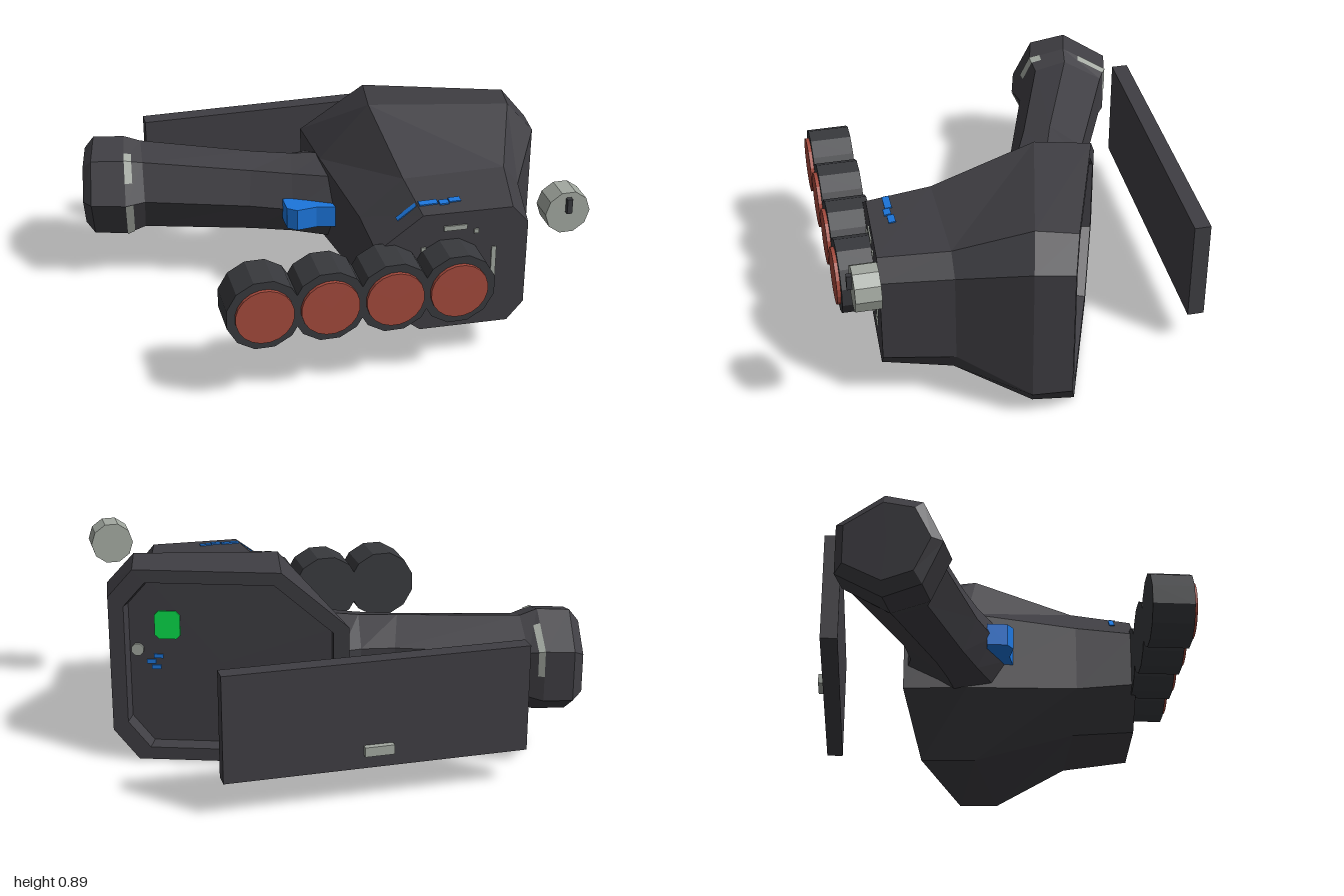
import * as THREE from 'three';

const mat = (name, color) => {
  const m = new THREE.MeshStandardMaterial({ color });
  m.name = name;
  return m;
};

export function createModel() {
  const model = new THREE.Group();
  const charcoal = mat('charcoal', 0x3f3e43);
  const slate = mat('slate', 0x38393d);
  const red = mat('lens red', 0xa3493c);
  const grey = mat('pale grey', 0xa2a8a0);
  const blue = mat('blue', 0x1c76dc);
  const green = mat('screen green', 0x08e04c);

  const add = (name, geo, material, x = 0, y = 0, z = 0) => {
    const g = geo.index ? geo.toNonIndexed() : geo;
    g.computeVertexNormals();
    const mesh = new THREE.Mesh(g, material);
    mesh.name = name;
    mesh.position.set(x, y, z);
    model.add(mesh);
    return mesh;
  };
  const box = (name, w, h, d, material, x, y, z) =>
    add(name, new THREE.BoxGeometry(w, h, d), material, x, y, z);
  const disc = (name, r, depth, sides, material, x, y, z) => {
    const g = new THREE.CylinderGeometry(r, r, depth, sides);
    g.rotateY(Math.PI / sides).rotateX(Math.PI / 2);
    return add(name, g, material, x, y, z);
  };
  const slab = (points, depth) => new THREE.ExtrudeGeometry(
    new THREE.Shape(points.map(([x, y]) => new THREE.Vector2(x, y))), { depth, bevelEnabled: false });

  // Faceted skin through a list of rings, closed at both ends
  const loft = rings => {
    const out = [];
    const tri = (...pts) => pts.forEach(p => out.push(p.x, p.y, p.z));
    const n = rings[0].length;
    const centre = r => r.reduce((s, p) => s.add(p), new THREE.Vector3()).divideScalar(n);
    const last = rings[rings.length - 1];
    const c0 = centre(rings[0]), c1 = centre(last);
    for (let j = 0; j < n; j++) {
      const k = (j + 1) % n;
      tri(c0, rings[0][j], rings[0][k]);
      tri(c1, last[k], last[j]);
      for (let i = 0; i + 1 < rings.length; i++) {
        const a = rings[i], b = rings[i + 1];
        tri(a[j], b[k], a[k]);
        tri(a[j], b[j], b[k]);
      }
    }
    const g = new THREE.BufferGeometry();
    g.setAttribute('position', new THREE.Float32BufferAttribute(out, 3));
    return g;
  };

  // Housing: chamfered rings from the front face to the slanted back rim
  const octagon = ([x0, x1, x2, x3], [y0, y1, y2, y3], [l1, l2], zAt) =>
    [[x3, y1], [x3, y2], [x2, y3], [x1, y3], [x0, l2], [x0, l1], [x1, y0], [x2, y0]]
      .map(([x, y]) => new THREE.Vector3(x, y, zAt(x)));
  const backZ = x => -0.1 - (0.995 - x) * 0.342;
  const rim = octagon([0.03, 0.3, 0.895, 0.998], [0.015, 0.15, 0.76, 0.885], [0.25, 0.65], backZ);
  const inset = (s, dx, dz) => rim.map(p => {
    const x = 0.52 + (p.x - 0.52) * s;
    return new THREE.Vector3(x + dx, 0.45 + (p.y - 0.45) * s, backZ(x) + dz);
  });
  add('housing', loft([
    octagon([0.1, 0.295, 0.68, 0.75], [0.175, 0.26, 0.65, 0.73], [0.33, 0.58], x => 0.62 + (x - 0.1) * 0.04),
    octagon([0.1, 0.29, 0.74, 0.81], [0.15, 0.26, 0.67, 0.76], [0.3, 0.6], () => 0.35),
    octagon([0.05, 0.26, 0.86, 0.975], [0.005, 0.14, 0.77, 0.9], [0.27, 0.635], x => -0.1 + (x - 0.26) * 0.23),
    rim,
    inset(0.87, 0, 0),
    inset(0.85, -0.02, 0.06),
  ]), charcoal);

  // Handle: front and back edge in x,z plus half height for each ring
  const sections = [
    [-1.0, -0.34, -0.92, -0.69, 0.175],
    [-0.97, -0.29, -0.87, -0.72, 0.228],
    [-0.82, -0.25, -0.75, -0.69, 0.232],
    [-0.73, -0.27, -0.69, -0.655, 0.205],
    [-0.28, -0.12, -0.17, -0.43, 0.185],
    [-0.1, -0.04, -0.03, -0.4, 0.182],
    [0.12, 0.08, 0.06, -0.415, 0.19],
  ];
  // Cross-section: creased front, peaked top and bottom, flat back
  const profile = [[1, 0], [0.62, 0.8], [-0.1, 1], [-1, 0.48], [-1, -0.48], [-0.1, -1], [0.62, -0.8]];
  const handlePoint = ([fx, fz, bx, bz, h], u, s = 1) => {
    const i = Math.floor(u), a = profile[i % 7], b = profile[(i + 1) % 7];
    const c = s * THREE.MathUtils.lerp(a[0], b[0], u - i) / 2;
    const v = s * THREE.MathUtils.lerp(a[1], b[1], u - i);
    return new THREE.Vector3((fx + bx) / 2 + (fx - bx) * c, 0.45 + h * v, (fz + bz) / 2 + (fz - bz) * c);
  };
  add('handle', loft(sections.map(s => profile.map((_, j) => handlePoint(s, j)))), charcoal);

  // Worn grey marks wrapped around the handle end, as spans of the cross-section
  const markEnd = sections[2].map((v, i) => v + (sections[3][i] - v) * 0.4);
  for (const [u0, u1] of [[0.5, 1], [1, 1.3], [2.35, 3], [3, 3.5], [6, 7]]) {
    const pts = [[sections[2], u0], [sections[2], u1], [markEnd, u1], [markEnd, u0]]
      .map(([s, u]) => handlePoint(s, u, 1.015));
    add('handleMark', new THREE.BufferGeometry().setFromPoints([0, 2, 1, 0, 3, 2].map(i => pts[i])), grey);
  }

  // Trigger under the front edge of the handle
  const trigger = slab([[-0.14, 0.07], [-0.14, -0.02], [-0.1, -0.05], [-0.01, -0.04], [0.09, -0.065], [0.13, 0.05]], 0.1);
  add('trigger', trigger.rotateX(-Math.PI / 2), blue, 0, 0.395, 0);

  // Row of four lamps
  for (let i = 0; i < 4; i++) {
    const x = -0.413 + i * 0.274;
    disc('lampHousing', 0.161, 0.18, 12, slate, x, 0.45, 0.69);
    disc('lampLens', 0.123, 0.016, 20, red, x, 0.45, 0.788);
  }

  // Detached knob with pointer
  disc('knob', 0.096, 0.105, 10, grey, 0.87, 0.745, 0.716);
  box('knobPointer', 0.022, 0.065, 0.022, slate, 0.87, 0.782, 0.779);

  // Detached rear cover with latch
  box('rearCover', 1.3, 0.47, 0.072, charcoal, 0, 0.398, -0.738);
  box('coverLatch', 0.125, 0.042, 0.026, grey, 0, 0.245, -0.787);

  // Front face marks: x, y, width, height
  for (const [x, y, w, h] of [
    [0.435, 0.66, 0.1, 0.022], [0.605, 0.46, 0.02, 0.18], [0.525, 0.635, 0.02, 0.02],
    [0.3, 0.57, 0.02, 0.02], [0.575, 0.318, 0.04, 0.03], [0.345, 0.275, 0.03, 0.025],
    [0.275, 0.345, 0.035, 0.03], [0.43, 0.255, 0.015, 0.015],
  ]) box('frontMark', w, h, 0.008, grey, x, y, 0.622 + (x - 0.1) * 0.04).rotation.y = -0.04;

  // Broken blue stripe across the top edge
  for (const [x, w, z] of [[0.34, 0.08, 0.545], [0.405, 0.04, 0.555], [0.455, 0.05, 0.545]])
    box('topStripe', w, 0.008, 0.03, blue, x, 0.741, z).rotation.x = 0.107;
  box('topStripeSide', 0.1, 0.008, 0.025, blue, 0.25, 0.703, 0.535).rotation.set(0.08, 0, 0.66);

  // Controls on the recessed back panel
  const onPanel = (mesh, x, y) => {
    mesh.position.set(x, y, -0.042 - (0.975 - x) * 0.342);
    mesh.rotation.y = Math.atan2(0.324, -0.946);
  };
  const screen = slab([[0.055, -0.045], [0.055, 0.045], [0.037, 0.063], [-0.037, 0.063],
    [-0.055, 0.045], [-0.055, -0.045], [-0.037, -0.063], [0.037, -0.063]], 0.008);
  onPanel(add('screen', screen, green), 0.75, 0.62);
  onPanel(disc('panelButton', 0.028, 0.02, 8, grey), 0.875, 0.505);
  for (const [x, y] of [[0.79, 0.475], [0.82, 0.45], [0.8, 0.425]])
    onPanel(box('panelMark', 0.04, 0.018, 0.008, blue), x, y);
  for (const [x, y] of [[0.28, 0.25], [0.34, 0.21]])
    onPanel(disc('panelScrew', 0.013, 0.01, 8, grey), x, y);

  return model;
}
